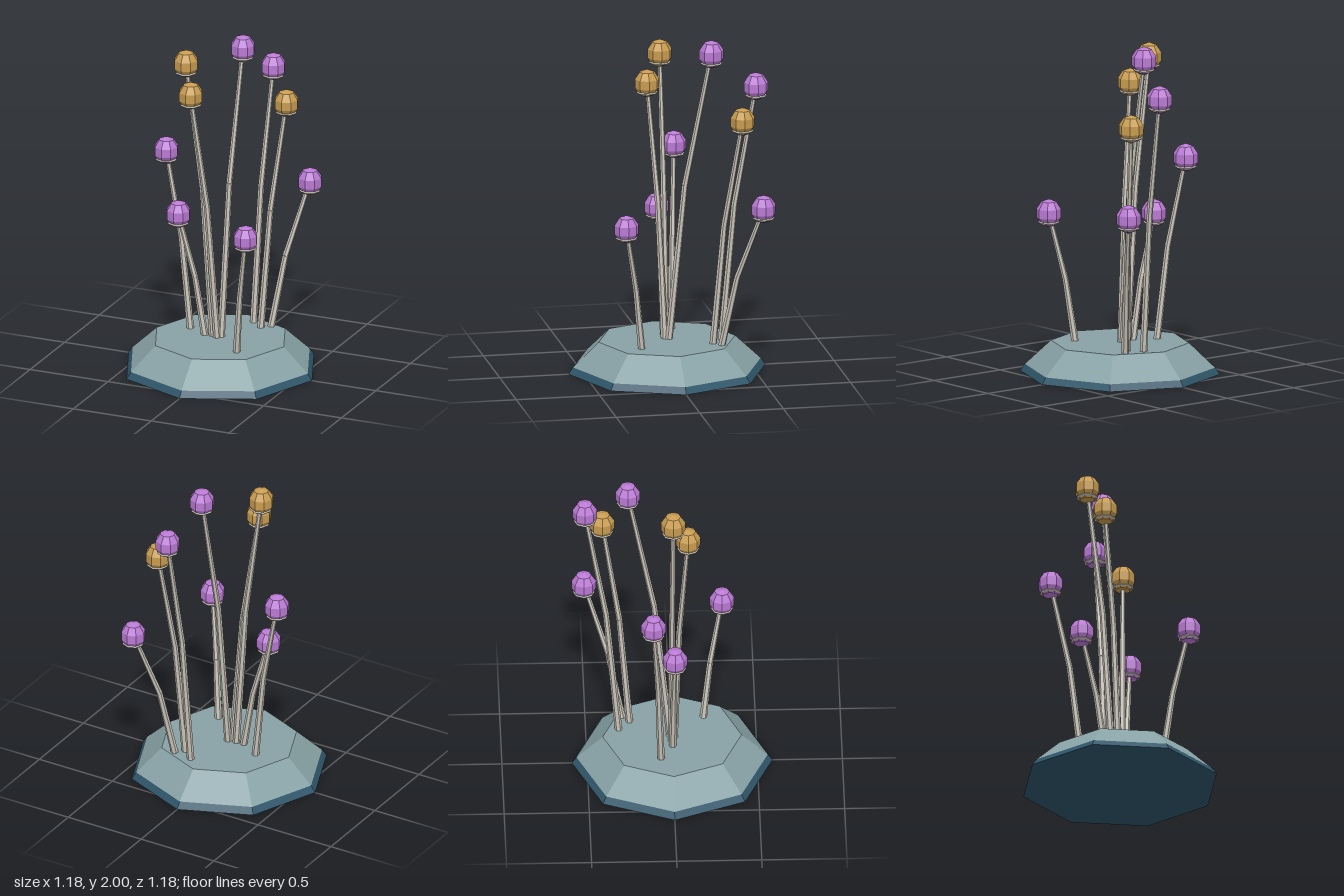
import * as THREE from 'three';

const flat = (name, color) => {
  const m = new THREE.MeshStandardMaterial({ color, flatShading: true });
  m.name = name;
  return m;
};

export function createModel() {
  const mats = {
    stone: flat('greyGreenStone', 0x88a2a6),
    rim: flat('darkTeal', 0x2f566a),
    stem: flat('paleStem', 0xc9c4b9),
    purple: flat('purpleBud', 0xba7ad4),
    gold: flat('goldBud', 0xc89c50),
  };
  const model = new THREE.Group();
  model.name = 'buddingPlant';
  const add = (parent, name, geometry, material) => {
    const mesh = new THREE.Mesh(geometry, material);
    mesh.name = name;
    parent.add(mesh);
    return mesh;
  };

  // Octagonal base: dark lower rim and sloping stone top
  add(model, 'baseRim', new THREE.CylinderGeometry(0.562, 0.59, 0.04, 8), mats.rim).position.y = 0.025;
  add(model, 'baseStone', new THREE.CylinderGeometry(0.408, 0.562, 0.145, 8), mats.stone).position.y = 0.1175;

  // Tapered six-sided rod from a to b
  const up = new THREE.Vector3(0, 1, 0);
  const rod = (parent, name, a, b, r0, r1) => {
    const d = b.clone().sub(a);
    const mesh = add(parent, name, new THREE.CylinderGeometry(r1, r0, d.length(), 6), mats.stem);
    mesh.position.copy(a).add(b).multiplyScalar(0.5);
    mesh.quaternion.setFromUnitVectors(up, d.normalize());
  };

  const budGeometry = new THREE.SphereGeometry(0.076, 8, 5).scale(1, 1.12, 1);
  const ringGeometry = new THREE.TorusGeometry(0.056, 0.009, 4, 8).rotateX(Math.PI / 2);

  // Each stalk: bud colour, bud centre x y z, foot x z
  const stalks = [
    ['purple', 0.03, 1.915, -0.26, 0.0, -0.01],
    ['gold', -0.22, 1.87, 0.0, -0.05, -0.005],
    ['gold', -0.15, 1.71, 0.09, -0.015, 0.01],
    ['purple', 0.115, 1.73, -0.51, 0.075, -0.31],
    ['gold', 0.245, 1.555, -0.405, 0.15, -0.245],
    ['purple', -0.4, 1.26, -0.12, -0.22, -0.07],
    ['purple', -0.265, 0.925, 0.01, -0.095, 0.0],
    ['purple', 0.35, 1.045, -0.51, 0.195, -0.285],
    ['purple', 0.295, 0.95, 0.3, 0.185, 0.185],
  ];
  for (const [color, x, y, z, fx, fz] of stalks) {
    const stalk = new THREE.Group();
    stalk.name = 'stalk';
    model.add(stalk);
    const foot = new THREE.Vector3(fx, 0.16, fz);
    const tip = new THREE.Vector3(x, y, z);
    const bend = foot.clone().lerp(tip, 0.38);
    bend.y = y * 0.585;
    rod(stalk, 'lowerStem', foot, bend, 0.022, 0.018);
    rod(stalk, 'upperStem', bend, tip, 0.018, 0.013);
    add(stalk, 'bud', budGeometry, mats[color]).position.copy(tip);
    add(stalk, 'budRing', ringGeometry, mats.stem).position.set(x, y - 0.054, z);
  }
  return model;
}
